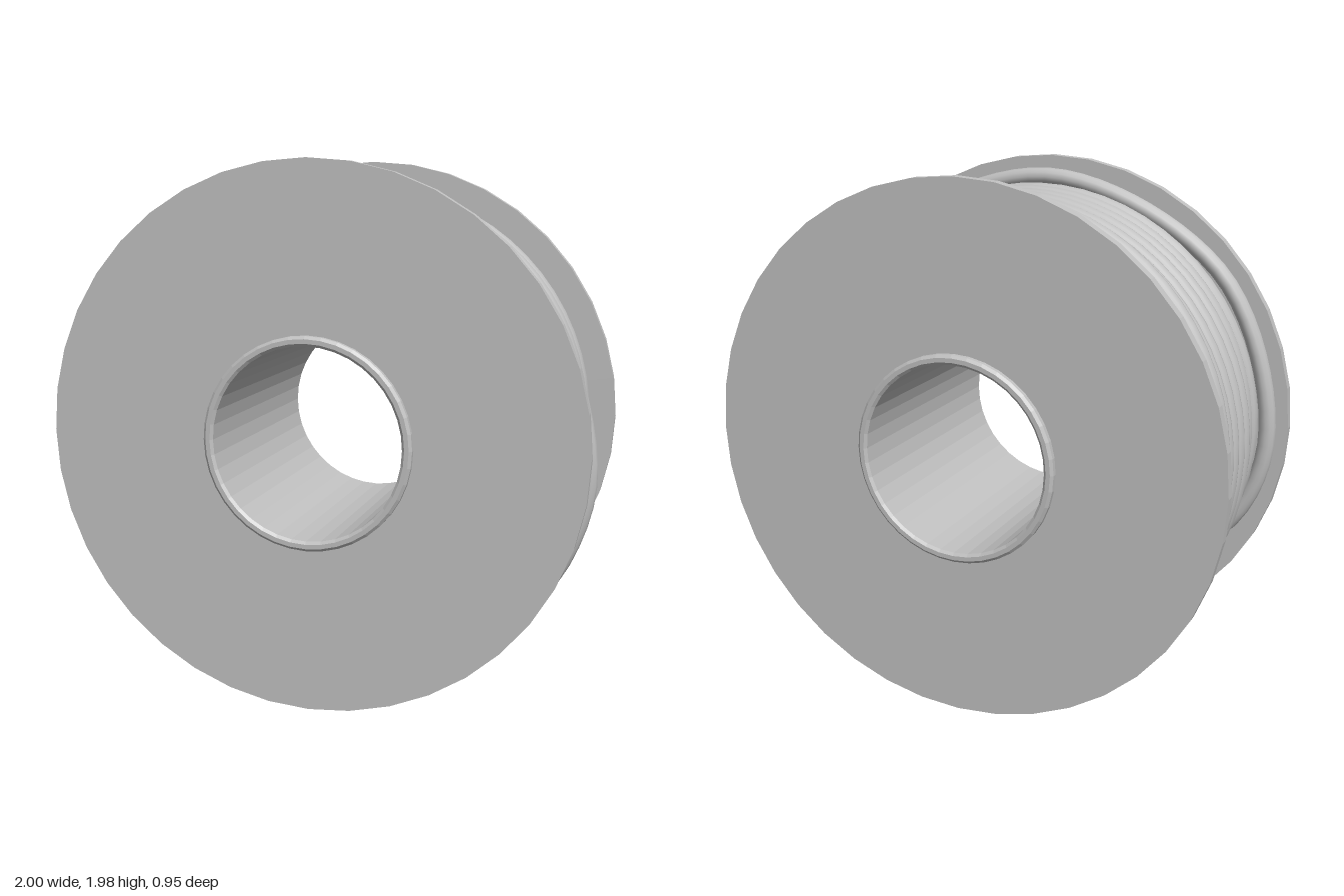
import * as THREE from 'three';
import { toCreasedNormals } from 'three/addons/utils/BufferGeometryUtils.js';

const CX = -0.005, CY = 0.996;

// Curve defined by a function of t
class FnCurve extends THREE.Curve {
  constructor(fn) { super(); this.fn = fn; }
  getPoint(t, target = new THREE.Vector3()) { return target.copy(this.fn(t)); }
}

export function createModel() {
  const group = new THREE.Group();
  const grey = new THREE.MeshStandardMaterial({ color: 0xc0c0c0 });
  grey.name = 'spoolGrey';
  const add = (name, geometry) => {
    const mesh = new THREE.Mesh(geometry, grey);
    mesh.name = name;
    group.add(mesh);
    return mesh;
  };

  // Spool: hollow hub, two flanges and the drum, turned as one closed profile
  const half = [
    [0.835, 0.41], [0.992, 0.41], [0.992, 0.45], [0.386, 0.45],
    [0.386, 0.468], [0.376, 0.477], [0.36, 0.477], [0.35, 0.468],
  ];
  const profile = [
    ...half.slice().reverse().map(([r, z]) => new THREE.Vector2(r, -z)),
    ...half.map(([r, z]) => new THREE.Vector2(r, z)),
  ];
  profile.push(profile[0].clone());
  const spool = new THREE.LatheGeometry(profile, 40);
  spool.rotateX(Math.PI / 2);
  spool.translate(CX, CY, 0);
  add('spool', toCreasedNormals(spool, 0.1));

  // Wound turns: [z centre, path radius, x shift, y shift, z lean sideways, z lean upwards]
  const turns = [
    [0.308, 0.852, 0, 0, -0.01, 0],
    [0.23, 0.852, 0, 0, -0.008, 0],
    [0.147, 0.868, -0.008, -0.022, 0.034, 0.03],
    [0.07, 0.868, -0.008, -0.022, 0.034, 0.033],
    [-0.008, 0.868, -0.008, -0.022, 0.034, 0.03],
    [-0.083, 0.868, -0.008, -0.022, 0.034, 0.033],
    [-0.147, 0.877, -0.002, -0.012, 0.032, 0.053],
    [-0.25, 0.85, 0.01, 0, 0.01, 0],
    [-0.332, 0.85, 0.01, 0, 0.012, 0],
  ];
  for (const [z, r, dx, dy, leanX, leanY] of turns) {
    const path = new FnCurve((t) => {
      const a = t * Math.PI * 2, c = Math.cos(a), s = Math.sin(a);
      return new THREE.Vector3(CX + dx + r * c, CY + dy + r * s, z + leanX * c + leanY * s);
    });
    add('wireTurn', new THREE.TubeGeometry(path, 64, 0.043, 12, true));
  }

  // Loose outer end: rises out of the winding and runs beside the front flange
  const stops = [[-48, 0.958], [-20, 0.97], [0, 0.972], [40, 0.945], [90, 0.914],
    [140, 0.918], [180, 0.92], [205, 0.89], [235, 0.78]];
  const loose = new THREE.CatmullRomCurve3(stops.map(([deg, r]) => {
    const a = deg * Math.PI / 180;
    return new THREE.Vector3(CX + r * Math.cos(a), CY + r * Math.sin(a), 0.376);
  }));
  add('looseEnd', new THREE.TubeGeometry(loose, 64, 0.033, 12, false));

  // Cut face of the loose end
  const cut = add('looseEndCut', new THREE.CircleGeometry(0.033, 12));
  cut.position.copy(loose.getPoint(0));
  cut.quaternion.setFromUnitVectors(new THREE.Vector3(0, 0, 1), loose.getTangent(0).negate());

  return group;
}
